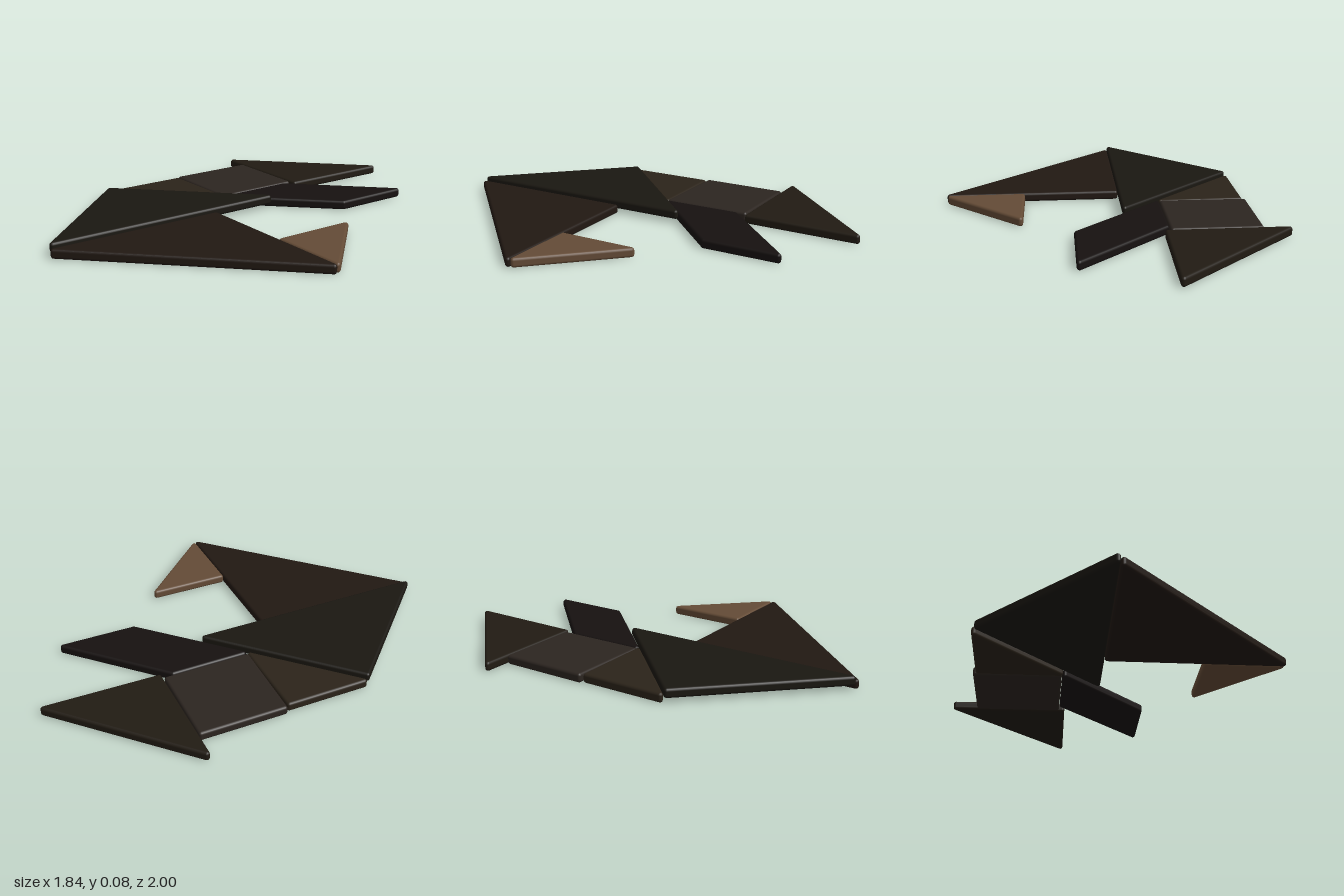
import * as THREE from 'three';

const R = 0.016;        // edge rounding
const THICK = 0.056;    // tile thickness
const ARC = 4;          // steps per rounded corner
const BEVEL = 4;        // steps per quarter-round edge

// Convex tile with fully rounded edges: corner centres are swept by a sphere of radius R.
function roundedTile(corners) {
  const n = corners.length;
  const area = corners.reduce((s, [x, z], i) => {
    const [x2, z2] = corners[(i + 1) % n];
    return s + x * z2 - x2 * z;
  }, 0);
  const pts = area > 0 ? corners : [...corners].reverse();
  const normalAngle = (i) => {
    const [x, z] = pts[(i + n) % n], [x2, z2] = pts[(i + 1) % n];
    return Math.atan2(x - x2, z2 - z);
  };

  // outline: each corner with a fan of outward directions
  const outline = [];
  pts.forEach(([x, z], i) => {
    const a = normalAngle(i - 1);
    let turn = normalAngle(i) - a;
    if (turn < 0) turn += Math.PI * 2;
    for (let k = 0; k <= ARC; k++) {
      const t = a + turn * k / ARC;
      outline.push([x, z, Math.cos(t), Math.sin(t)]);
    }
  });

  // rings from the bottom face round to the top face
  const pos = [], nor = [], index = [];
  const count = outline.length, rings = 2 * (BEVEL + 1);
  for (let r = 0; r < rings; r++) {
    const top = r > BEVEL;
    const phi = (top ? r - BEVEL - 1 : r - BEVEL) / BEVEL * Math.PI / 2;
    const c = Math.cos(phi), s = Math.sin(phi);
    const y = (top ? THICK - R : R) + R * s;
    for (const [x, z, dx, dz] of outline) {
      pos.push(x + R * c * dx, y, z + R * c * dz);
      nor.push(c * dx, s, c * dz);
    }
  }
  for (let r = 0; r < rings - 1; r++) {
    for (let j = 0; j < count; j++) {
      const a = r * count + j, b = r * count + (j + 1) % count;
      index.push(a, a + count, b, b, a + count, b + count);
    }
  }
  // flat faces
  const last = (rings - 1) * count;
  for (let j = 1; j < count - 1; j++) {
    index.push(0, j, j + 1, last, last + j + 1, last + j);
  }

  const g = new THREE.BufferGeometry();
  g.setAttribute('position', new THREE.Float32BufferAttribute(pos, 3));
  g.setAttribute('normal', new THREE.Float32BufferAttribute(nor, 3));
  g.setIndex(index);
  return g;
}

// Corner centres as [x, z]; lift raises a tile above the ground
const TILES = [
  { name: 'largeTriangleRaised', color: 0x1a1711, lift: 0.026,
    corners: [[-0.899, -0.07], [0.117, -0.07], [-0.906, 0.957]] },
  { name: 'largeTriangleFront', color: 0x211812,
    corners: [[-0.892, 0.984], [0.59, 0.984], [-0.155, 0.246]] },
  { name: 'smallTriangleTail', color: 0x644b36,
    corners: [[0.614, 0.316], [0.607, 0.956], [0.286, 0.64]] },
  { name: 'mediumTriangleHead', color: 0x211b13,
    corners: [[-0.257, -0.984], [0.731, -0.973], [0.238, -0.492]] },
  { name: 'squareNeck', color: 0x2c2520,
    corners: [[-0.17, -0.85], [0.185, -0.49], [-0.175, -0.125], [-0.53, -0.49]] },
  { name: 'smallTriangleNeck', color: 0x2b2319,
    corners: [[-0.545, -0.45], [-0.19, -0.103], [-0.89, -0.103]] },
  { name: 'parallelogramArm', color: 0x161110,
    corners: [[0.175, -0.43], [0.902, -0.428], [0.58, -0.108], [-0.145, -0.105]] },
];

export function createModel() {
  const model = new THREE.Group();
  model.name = 'tangram';
  for (const { name, color, lift = 0, corners } of TILES) {
    const tile = new THREE.Mesh(roundedTile(corners), new THREE.MeshStandardMaterial({ color }));
    tile.name = name;
    tile.position.y = lift;
    model.add(tile);
  }
  return model;
}
